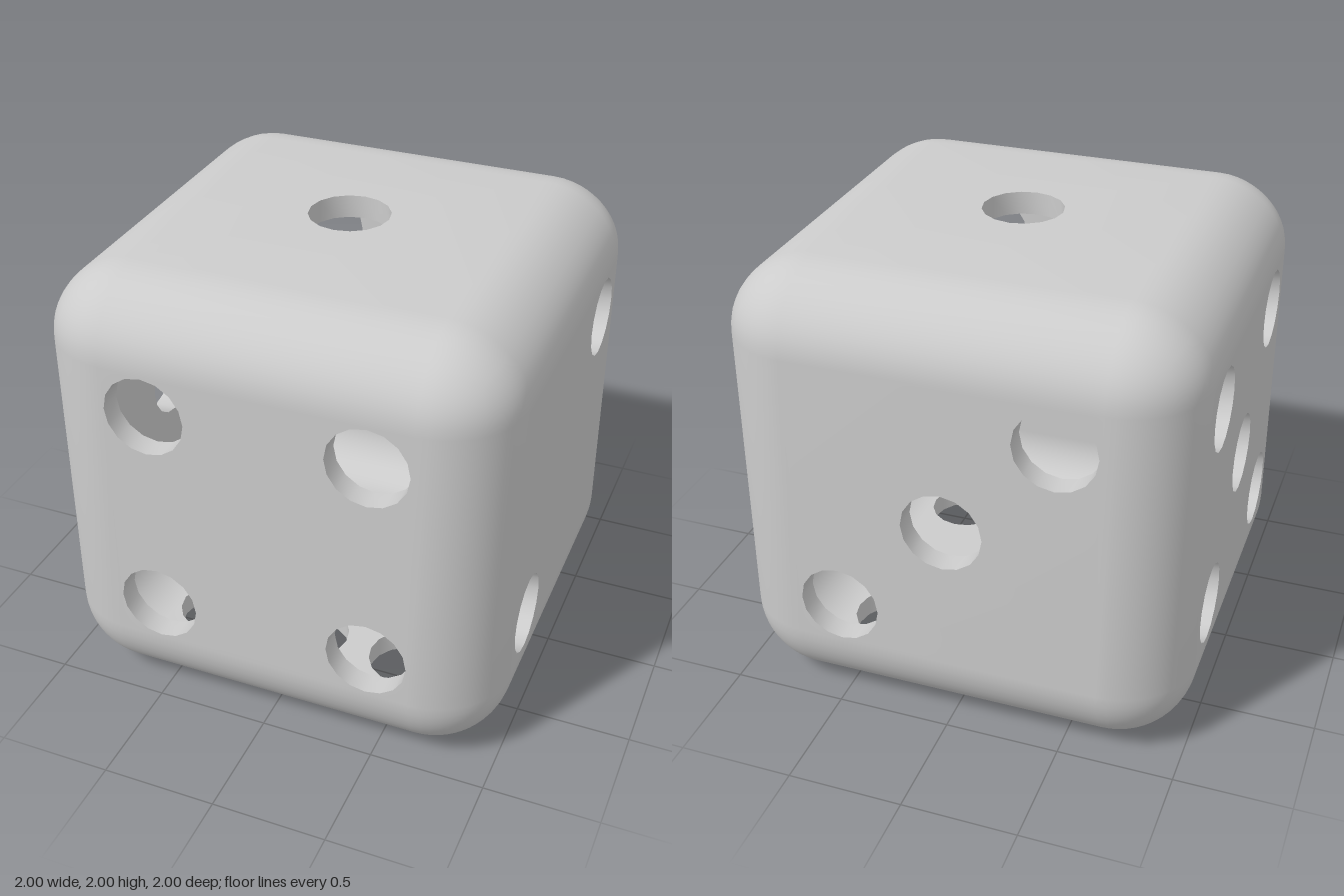
import * as THREE from 'three';
import { mergeGeometries, toCreasedNormals } from 'three/addons/utils/BufferGeometryUtils.js';
import { RoundedBoxGeometry } from 'three/addons/geometries/RoundedBoxGeometry.js';

const HALF = 1, RADIUS = 0.34, WALL = 0.1, FLAT = HALF - RADIUS;
const PIP_R = 0.175, D = 0.472, SIDES = 16;

// Each face: right and up directions, and its pips measured along them
const V = (x, y, z) => new THREE.Vector3(x, y, z);
const corners = [[D, D], [-D, -D], [-D, D], [D, -D]];
const FACES = [
  { u: V(1, 0, 0), v: V(0, 1, 0), pips: corners },                                // front: 4
  { u: V(0, 0, -1), v: V(0, 1, 0), pips: [[D, D], [-D, -D]] },                    // +x side: 2
  { u: V(-1, 0, 0), v: V(0, 1, 0), pips: [[D, D], [0, 0], [-D, -D]] },            // back: 3
  { u: V(0, 0, 1), v: V(0, 1, 0), pips: [...corners, [0, 0]] },                   // -x side: 5
  { u: V(1, 0, 0), v: V(0, 0, -1), pips: [[0, 0]], domed: true },                 // top: 1
  { u: V(1, 0, 0), v: V(0, 0, 1), pips: [...corners, [0, D], [0, -D]] },          // bottom: 6
];
const faceMatrix = (f) => new THREE.Matrix4().makeBasis(f.u, f.v, f.u.clone().cross(f.v));

// Keep positions only, without index, so all pieces merge alike
function bare(geometry, flip = false) {
  const p = (geometry.index ? geometry.toNonIndexed() : geometry).attributes.position;
  const out = [];
  for (let i = 0; i < p.count; i += 3) {
    for (const k of flip ? [0, 2, 1] : [0, 1, 2]) out.push(p.getX(i + k), p.getY(i + k), p.getZ(i + k));
  }
  const g = new THREE.BufferGeometry();
  g.setAttribute('position', new THREE.Float32BufferAttribute(out, 3));
  return g;
}

function square(h, Kind = THREE.Shape) {
  return new Kind([[-h, -h], [h, -h], [h, h], [-h, h]].map(([x, y]) => new THREE.Vector2(x, y)));
}

// Rounded edges and corners only: the flat middles are left out
function roundedEdges(half, flip) {
  const src = bare(new RoundedBoxGeometry(half * 2, half * 2, half * 2, 7, half - FLAT), flip);
  const p = src.attributes.position.array, out = [];
  for (let i = 0; i < p.length; i += 9) {
    const isFlat = [0, 1, 2].some((a) => Math.abs(p[i + a] + p[i + 3 + a] + p[i + 6 + a]) > 3 * half - 1e-4);
    if (!isFlat) out.push(...p.slice(i, i + 9));
  }
  const g = new THREE.BufferGeometry();
  g.setAttribute('position', new THREE.Float32BufferAttribute(out, 3));
  return g;
}

// Flat panel of one face, pierced by its pips
function panels(face, half, flip) {
  const shapes = [];
  const inner = face.domed ? 0.3 : FLAT;
  const plate = square(inner);
  for (const [x, y] of face.pips) {
    plate.holes.push(new THREE.Path().absarc(x, y, PIP_R, 0, Math.PI * 2, true));
  }
  shapes.push(plate);
  if (face.domed) {
    const frame = square(FLAT);
    frame.holes.push(square(inner, THREE.Path));
    shapes.push(frame);
  }
  return bare(new THREE.ShapeGeometry(shapes, SIDES / 2).translate(0, 0, half).applyMatrix4(faceMatrix(face)), flip);
}

// Short tube through the wall for each pip
function pipWalls(face) {
  return face.pips.map(([x, y]) => bare(
    new THREE.CylinderGeometry(PIP_R, PIP_R, WALL, SIDES, 1, true)
      .rotateX(Math.PI / 2).translate(x, y, HALF - WALL / 2).applyMatrix4(faceMatrix(face)), true));
}

// The top sags a little toward its edges, then the body is lifted to the ground
function finish(parts) {
  const g = mergeGeometries(parts);
  const p = g.attributes.position;
  for (let i = 0; i < p.count; i++) {
    const reach = Math.max(Math.abs(p.getX(i)), Math.abs(p.getZ(i)));
    const sag = 0.022 * THREE.MathUtils.smoothstep(reach, 0.3, 0.7)
      * THREE.MathUtils.smoothstep(p.getY(i), 0.66, 0.95);
    p.setY(i, p.getY(i) - sag + HALF);
  }
  return toCreasedNormals(g, 0.6);
}

export function createModel() {
  const group = new THREE.Group();
  group.name = 'hollowDie';
  const material = new THREE.MeshStandardMaterial({ color: 0xcccccc, side: THREE.DoubleSide });
  const add = (name, parts) => {
    const mesh = new THREE.Mesh(finish(parts), material);
    mesh.name = name;
    group.add(mesh);
  };
  const shell = (half, flip) => [roundedEdges(half, flip), ...FACES.map((f) => panels(f, half, flip))];

  add('outerShell', shell(HALF, false));
  add('innerShell', shell(HALF - WALL, true));
  add('pipWalls', FACES.flatMap(pipWalls));
  return group;
}
